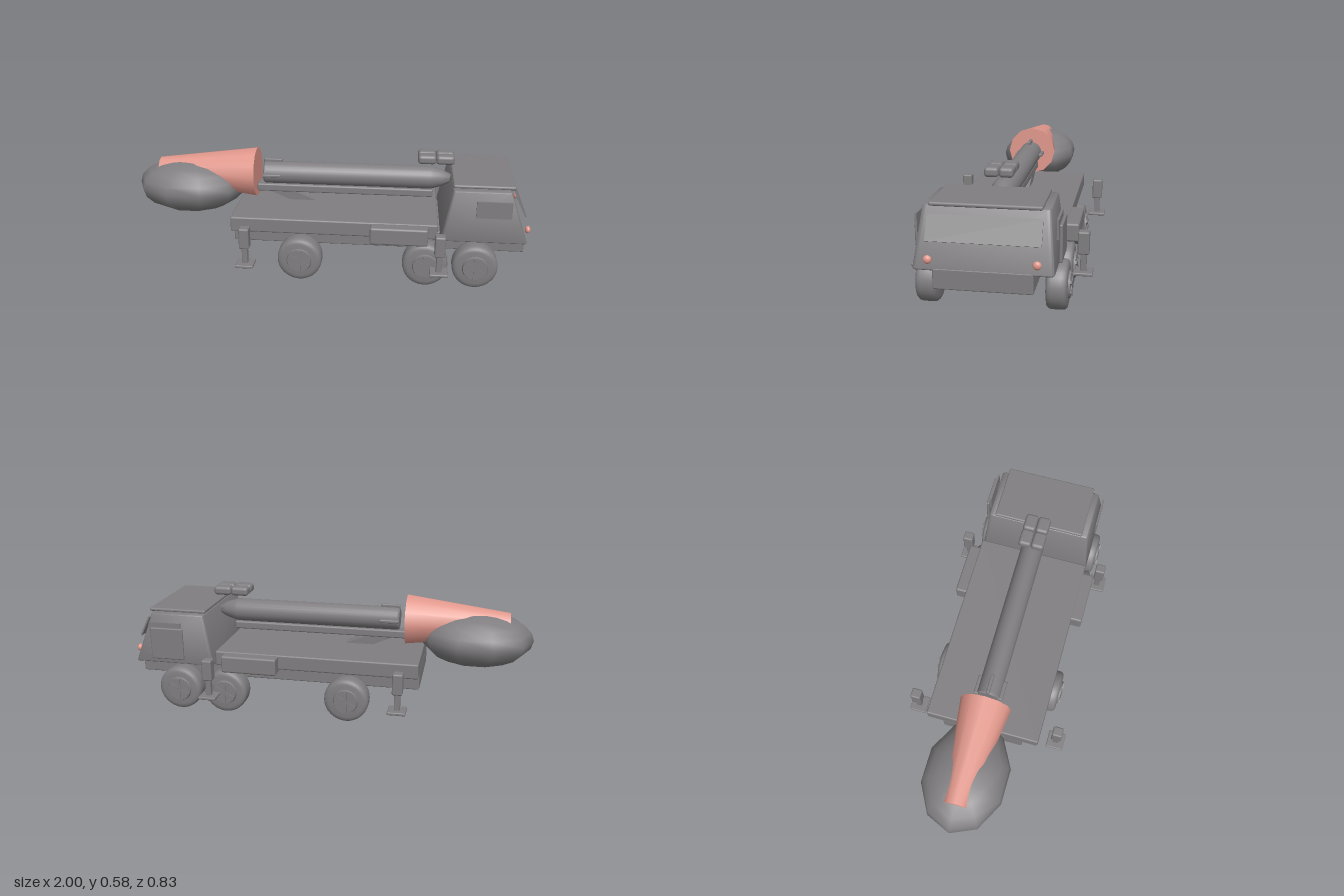
import * as THREE from 'three';
import { RoundedBoxGeometry } from 'three/addons/geometries/RoundedBoxGeometry.js';
import { toCreasedNormals } from 'three/addons/utils/BufferGeometryUtils.js';

export function createModel() {
  const root = new THREE.Group();
  root.name = 'rocketCarrierTruck';
  const grey = new THREE.MeshStandardMaterial({ color: 0x807e80 });
  grey.name = 'vehicle grey';
  const salmon = new THREE.MeshStandardMaterial({ color: 0xe2988c });
  salmon.name = 'flame salmon';

  const add = (name, geometry, x = 0, y = 0, z = 0, material = grey, parent = root) => {
    const mesh = new THREE.Mesh(geometry, material);
    mesh.name = name;
    mesh.position.set(x, y, z);
    parent.add(mesh);
    return mesh;
  };
  // Softened box given by its extents
  const box = (name, x0, x1, y0, y1, z0, z1, r = 0.008, parent = root) =>
    add(name, new RoundedBoxGeometry(x1 - x0, y1 - y0, z1 - z0, 2, r),
      (x0 + x1) / 2, (y0 + y1) / 2, (z0 + z1) / 2, grey, parent);
  const group = (name, x, y, z) => {
    const g = new THREE.Group();
    g.name = name;
    g.position.set(x, y, z);
    root.add(g);
    return g;
  };

  // Chassis and load deck
  box('chassis', -0.46, 0.98, 0.15, 0.24, -0.208, 0.208, 0.006);
  box('deck', -0.46, 0.555, 0.235, 0.31, -0.29, 0.29);

  // Cab: a rounded block narrowed toward the roof
  const cabGeo = new RoundedBoxGeometry(1, 1, 1, 3, 0.035);
  const p = cabGeo.attributes.position;
  for (let i = 0; i < p.count; i++) {
    const t = p.getY(i) + 0.5;
    const back = THREE.MathUtils.lerp(0.567, 0.62, t);
    const front = THREE.MathUtils.lerp(0.982, 0.893, t);
    p.setXYZ(i, THREE.MathUtils.lerp(back, front, p.getX(i) + 0.5),
      0.228 + t * 0.257, p.getZ(i) * 2 * THREE.MathUtils.lerp(0.293, 0.265, t));
  }
  add('cab', toCreasedNormals(cabGeo, 0.6));
  box('roofPlate', 0.62, 0.915, 0.482, 0.5, -0.235, 0.235);

  // Windscreen and side windows
  const screen = add('windscreen', new THREE.BoxGeometry(0.008, 0.112, 0.476), 0.945, 0.401, 0);
  screen.rotation.z = Math.atan2(0.05, 0.1);
  for (const s of [1, -1]) {
    add('sideWindow', new THREE.BoxGeometry(0.167, 0.083, 0.009), 0.813, 0.402, s * 0.293);
  }
  box('sidePanel', 0.715, 0.885, 0.257, 0.42, -0.312, -0.297, 0.006);

  // Headlamps
  for (const s of [1, -1]) {
    add('headlamp', new THREE.SphereGeometry(0.018, 16, 12), 0.987, 0.28, s * 0.223, salmon)
      .scale.x = 0.72;
  }

  // Wheels with spoked hubs
  const tyreProfile = [[0, -0.046], [0.085, -0.046], [0.1, -0.043], [0.108, -0.034],
    [0.11, -0.02], [0.11, 0.02], [0.108, 0.034], [0.1, 0.043], [0.085, 0.046], [0, 0.046]]
    .map(([r, y]) => new THREE.Vector2(r, y));
  const tyreGeo = toCreasedNormals(new THREE.LatheGeometry(tyreProfile, 32).rotateX(Math.PI / 2), 0.7);
  const hubGeo = new THREE.CylinderGeometry(0.058, 0.062, 0.01, 24).rotateX(Math.PI / 2);
  const spokeGeo = new THREE.BoxGeometry(0.014, 0.05, 0.006).translate(0, 0.029, 0);
  for (const x of [-0.115, 0.5, 0.74]) {
    for (const s of [1, -1]) {
      const wheel = group('wheel', x, 0.11, s * 0.281);
      wheel.rotation.y = s > 0 ? 0 : Math.PI;
      add('tyre', tyreGeo, 0, 0, 0, grey, wheel);
      add('hub', hubGeo, 0, 0, 0.05, grey, wheel);
      for (let i = 0; i < 6; i++) {
        add('spoke', spokeGeo, 0, 0, 0.057, grey, wheel).rotation.z = i * Math.PI / 3;
      }
    }
  }

  // Side lockers and stabiliser legs
  for (const s of [1, -1]) {
    const [a, b] = s > 0 ? [0.27, 0.346] : [-0.346, -0.27];
    box('sideLocker', 0.23, 0.508, 0.22, 0.306, a, b, 0.01);
    for (const x of [-0.373, 0.565]) {
      const leg = group('stabiliser', x, 0, s * 0.373);
      box('housing', -0.025, 0.025, 0.19, 0.296, -0.026, 0.026, 0.008, leg);
      box('piston', -0.014, 0.014, 0.105, 0.2, -0.014, 0.014, 0.004, leg);
      box('foot', -0.044, 0.044, 0.096, 0.111, -0.044, 0.044, 0.005, leg);
    }
  }

  // Launch rail and its sloping lift arm
  box('launchRail', -0.37, 0.532, 0.352, 0.392, -0.035, 0.035);
  const armShape = new THREE.Shape([[-0.19, 0.305], [-0.05, 0.305], [-0.18, 0.357], [-0.31, 0.357]]
    .map(([x, y]) => new THREE.Vector2(x, y)));
  add('liftArm', new THREE.ExtrudeGeometry(armShape, { depth: 0.06, bevelEnabled: false }), 0, 0, -0.03);

  // Rocket: body with tapering nose, axis along x
  const rocketProfile = [[0, -0.335], [0.05, -0.335], [0.058, -0.327], [0.058, 0.515],
    [0.055, 0.53], [0.042, 0.575], [0.022, 0.615], [0, 0.63]].map(([r, y]) => new THREE.Vector2(r, y));
  add('rocketBody', toCreasedNormals(
    new THREE.LatheGeometry(rocketProfile, 24).rotateZ(-Math.PI / 2), 0.7), 0, 0.448, 0);
  for (let i = 0; i < 4; i++) {
    const fin = group('fin', -0.287, 0.448, 0);
    fin.rotation.x = i * Math.PI / 2;
    box('finBlade', -0.048, 0.048, 0.04, 0.073, -0.008, 0.008, 0.005, fin);
  }

  // Exhaust flame and smoke
  add('flame', new THREE.CylinderGeometry(0.06, 0.127, 0.51, 12).rotateZ(Math.PI / 2),
    -0.625, 0.448, 0, salmon);
  add('smoke', new THREE.SphereGeometry(1, 10, 10), -0.72, 0.37, 0).scale.set(0.28, 0.137, 0.21);

  // Four small pods above the cab
  for (const x of [0.495, 0.585]) {
    for (const z of [0.033, -0.033]) {
      add('pod', new RoundedBoxGeometry(0.09, 0.045, 0.065, 3, 0.016), x, 0.559, z);
    }
  }
  return root;
}
